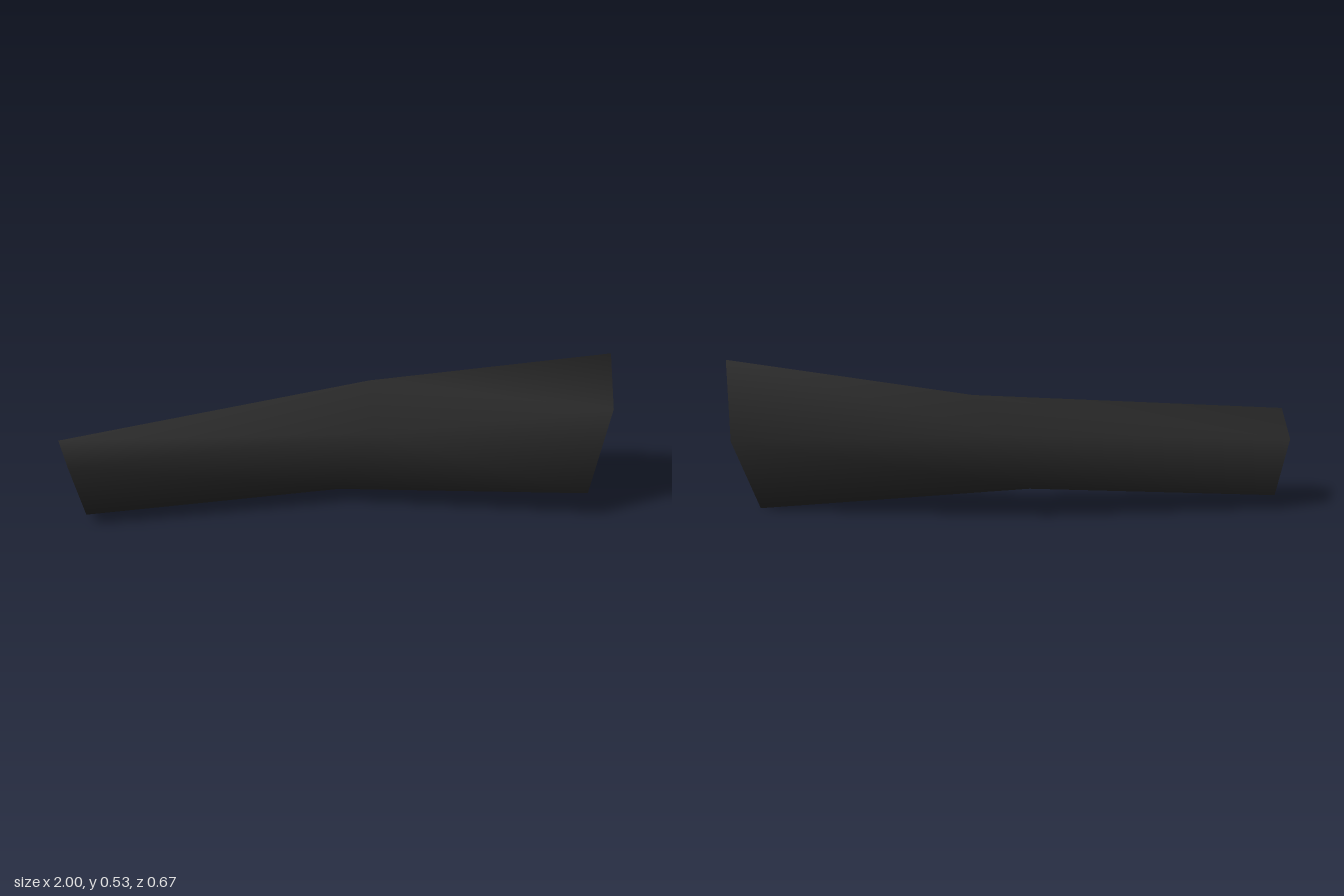
import * as THREE from 'three';

export function createModel() {
  const bark = new THREE.MeshStandardMaterial({ name: 'bark', color: 0x282828 });
  const wood = new THREE.MeshStandardMaterial({ name: 'cutWood', color: 0x594837 });

  // Five-sided cross-sections from the thin end to the thick end,
  // each listed as top, back, lower back, lower front, front
  const rings = [
    [[-1, 0.335, -0.08], [-0.975, 0.25, -0.26], [-0.92, 0.05, -0.267], [-0.92, 0.04, -0.07], [-0.98, 0.27, 0.02]],
    [[0.15, 0.42, -0.16], [0.06, 0.305, -0.333], [-0.03, 0.105, -0.285], [0, 0.06, -0.02], [0.12, 0.29, 0.03]],
    [[1, 0.533, 0.067], [0.99, 0.27, -0.116], [0.89, 0, 0.037], [0.84, 0.102, 0.315], [0.91, 0.43, 0.333]],
  ];
  const sides = 5;
  const index = [];

  // Bark between neighbouring rings
  for (let r = 0; r < rings.length - 1; r++) {
    for (let j = 0; j < sides; j++) {
      const a = r * sides + j;
      const b = r * sides + (j + 1) % sides;
      index.push(a, a + sides, b, b, a + sides, b + sides);
    }
  }
  const barkCount = index.length;

  // Cut faces at both ends, sharing the bark's smooth normals
  const last = (rings.length - 1) * sides;
  for (let j = 1; j < sides - 1; j++) {
    index.push(0, j, j + 1);
    index.push(last, last + j + 1, last + j);
  }

  const geometry = new THREE.BufferGeometry();
  geometry.setAttribute('position', new THREE.Float32BufferAttribute(rings.flat(2), 3));
  geometry.setIndex(index);
  geometry.addGroup(0, barkCount, 0);
  geometry.addGroup(barkCount, index.length - barkCount, 1);
  geometry.computeVertexNormals();

  const log = new THREE.Mesh(geometry, [bark, wood]);
  log.name = 'log';
  const group = new THREE.Group();
  group.name = 'bentLog';
  group.add(log);
  return group;
}
